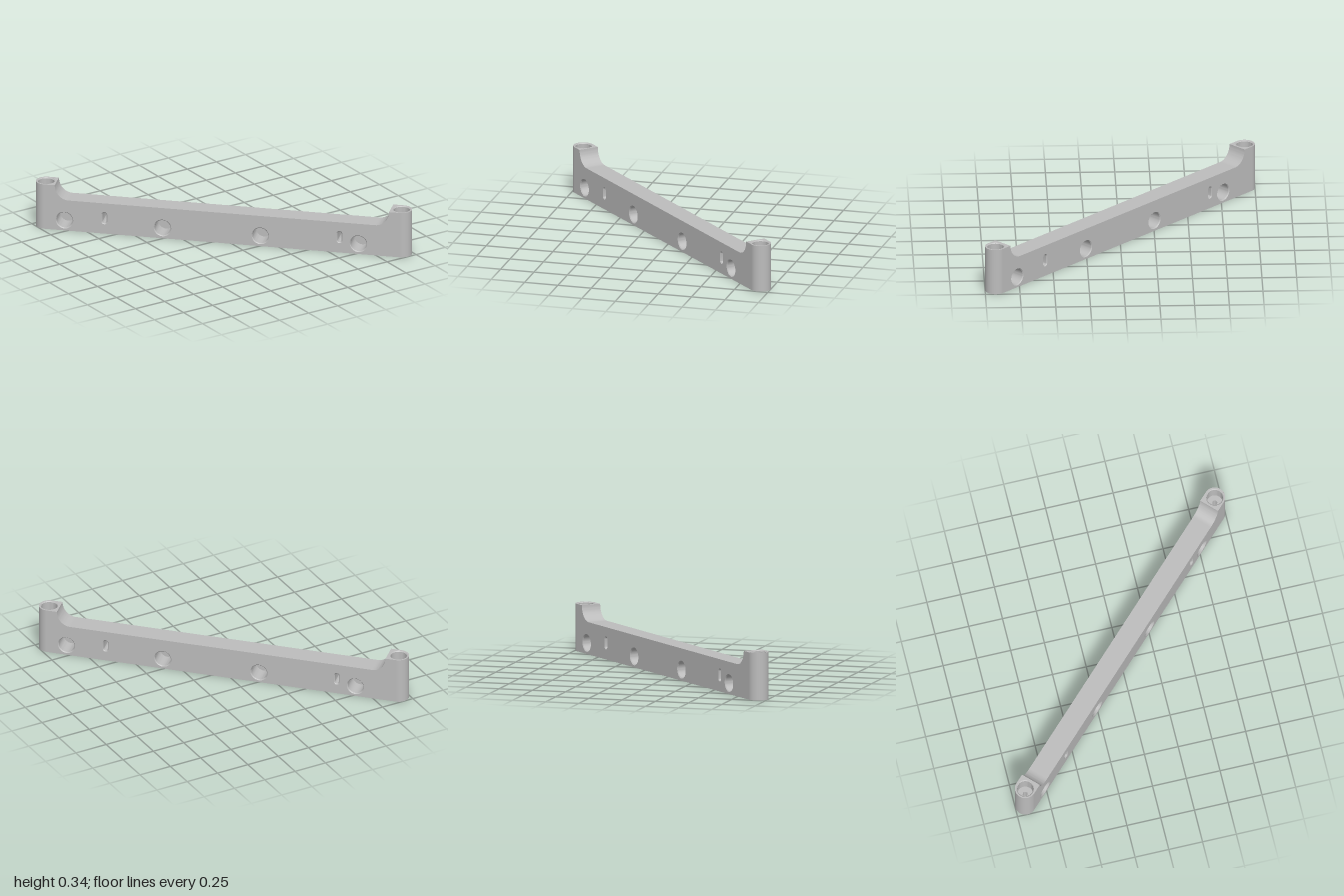
import * as THREE from 'three';
import { toCreasedNormals } from 'three/addons/utils/BufferGeometryUtils.js';

const W = 0.075;      // half width of the bar and radius of its round ends
const U = 1.308;      // distance from the middle to each post axis
const CUT = 1.23;     // inner flat of the post
const BAR = 0.235;    // height of the bar
const TOP = 0.345;    // height of the posts
const V = (x, y, z) => new THREE.Vector3(x, y, z);

// Closed outline of a circle, or of an upright slot when h > 0
function oval(cx, cy, r, h = 0, n = 40) {
  const pts = [];
  for (let i = 0; i < n; i++) {
    const a = (i / n) * Math.PI * 2;
    pts.push(new THREE.Vector2(cx + r * Math.cos(a), cy + r * Math.sin(a) + Math.sign(Math.sin(a)) * h));
  }
  pts.push(pts[0].clone());
  return pts;
}

// Surface strip between two rows of points
function ribbon(a, b) {
  const g = new THREE.PlaneGeometry(1, 1, a.length - 1, 1);
  [...a, ...b].forEach((p, i) => g.attributes.position.setXYZ(i, p.x, p.y, p.z));
  g.computeVertexNormals();
  return toCreasedNormals(g, 0.6);
}

export function createModel() {
  const grey = new THREE.MeshStandardMaterial({ color: 0xbcbcbc, side: THREE.DoubleSide });
  grey.name = 'plain grey';

  const add = (parent, name, geometry) => {
    const m = new THREE.Mesh(geometry, grey);
    m.name = name;
    parent.add(m);
    return m;
  };
  const cut = (shape, pts) => shape.holes.push(new THREE.Path().setFromPoints(pts));

  // Half of the bar; the other half is the same turned by 180 degrees
  function makeHalf(name) {
    const half = new THREE.Group();
    half.name = name;

    // Side wall with raised ends and concave fillets
    const side = new THREE.Shape();
    side.moveTo(-U, 0);
    side.lineTo(U, 0);
    side.lineTo(U, TOP);
    side.lineTo(CUT, TOP);
    side.absellipse(CUT - 0.1, TOP, 0.1, TOP - BAR, 0, -Math.PI / 2, true);
    side.absellipse(-CUT + 0.1, TOP, 0.1, TOP - BAR, -Math.PI / 2, -Math.PI, true);
    side.lineTo(-U, TOP);

    // Chamfered opening followed by a straight wall
    const opening = (label, x, y, rOut, rIn, h, end) => {
      const bevel = rOut - rIn;
      const outer = oval(x, y, rOut, h), inner = oval(x, y, rIn, h);
      cut(side, outer);
      const at = (pts, z) => pts.map(p => V(p.x, p.y, z));
      add(half, label + 'Chamfer', ribbon(at(outer, W), at(inner, W - bevel)));
      add(half, label + 'Wall', ribbon(at(inner, W - bevel), at(inner, end)));
    };

    // Blind round pockets
    for (const x of [-1.158, -0.437, 0.283, 1.005]) {
      opening('pocket', x, 0.08, 0.065, 0.059, 0, -0.06);
      add(half, 'pocketFloor', new THREE.CircleGeometry(0.059, 40)).position.set(x, 0.08, -0.06);
    }
    // Slots running through to the other side
    for (const x of [-0.865, 0.865]) opening('slot', x, 0.12, 0.022, 0.016, 0.026, 0);

    add(half, 'sideWall', new THREE.ShapeGeometry(side, 20)).position.z = W;

    // Concave fillet between the bar top and the post
    const curve = [];
    for (let i = 0; i <= 20; i++) {
      const a = (i / 20) * Math.PI / 2;
      curve.push([CUT - 0.1 + 0.1 * Math.sin(a), TOP - (TOP - BAR) * Math.cos(a)]);
    }
    add(half, 'fillet', ribbon(
      curve.map(([x, y]) => V(x, y, -W)), curve.map(([x, y]) => V(x, y, W))));

    // Round end of the post
    const end = new THREE.CylinderGeometry(W, W, TOP, 32, 1, true, 0, Math.PI);
    add(half, 'postEnd', end).position.set(U, TOP / 2, 0);

    // Top of the post around its bore
    const cap = new THREE.Shape();
    cap.moveTo(CUT, -W);
    cap.lineTo(U, -W);
    cap.absarc(U, 0, W, -Math.PI / 2, Math.PI / 2, false);
    cap.lineTo(CUT, W);
    cut(cap, oval(U, 0, 0.064));
    const capMesh = add(half, 'postTop', new THREE.ShapeGeometry(cap, 24));
    capMesh.rotation.x = -Math.PI / 2;
    capMesh.position.y = TOP;

    // Stepped bore: wide at both ends, narrow through the middle
    const bore = [[0.064, 0], [0.058, 0.006], [0.058, 0.12], [0.018, 0.12],
      [0.018, 0.225], [0.058, 0.225], [0.058, TOP - 0.006], [0.064, TOP]]
      .map(([r, y]) => new THREE.Vector2(r, y));
    const lathe = new THREE.LatheGeometry(bore, 40);
    add(half, 'postBore', toCreasedNormals(lathe, 0.6)).position.x = U;
    return half;
  }

  const bar = new THREE.Group();
  bar.name = 'bar';
  bar.add(makeHalf('frontHalf'));
  const back = makeHalf('backHalf');
  back.rotation.y = Math.PI;
  bar.add(back);

  // Flat top between the fillets
  const flat = add(bar, 'barTop', new THREE.PlaneGeometry(2 * (CUT - 0.1), 2 * W));
  flat.rotation.x = -Math.PI / 2;
  flat.position.y = BAR;

  // Underside with round ends and both bores
  const base = new THREE.Shape();
  base.absarc(U, 0, W, -Math.PI / 2, Math.PI / 2, false);
  base.absarc(-U, 0, W, Math.PI / 2, Math.PI * 1.5, false);
  for (const s of [-1, 1]) cut(base, oval(s * U, 0, 0.064));
  add(bar, 'underside', new THREE.ShapeGeometry(base, 24)).rotation.x = Math.PI / 2;

  // The bar lies on the diagonal
  bar.rotation.y = -Math.PI / 4;
  const model = new THREE.Group();
  model.name = 'mountingBar';
  model.add(bar);
  return model;
}
